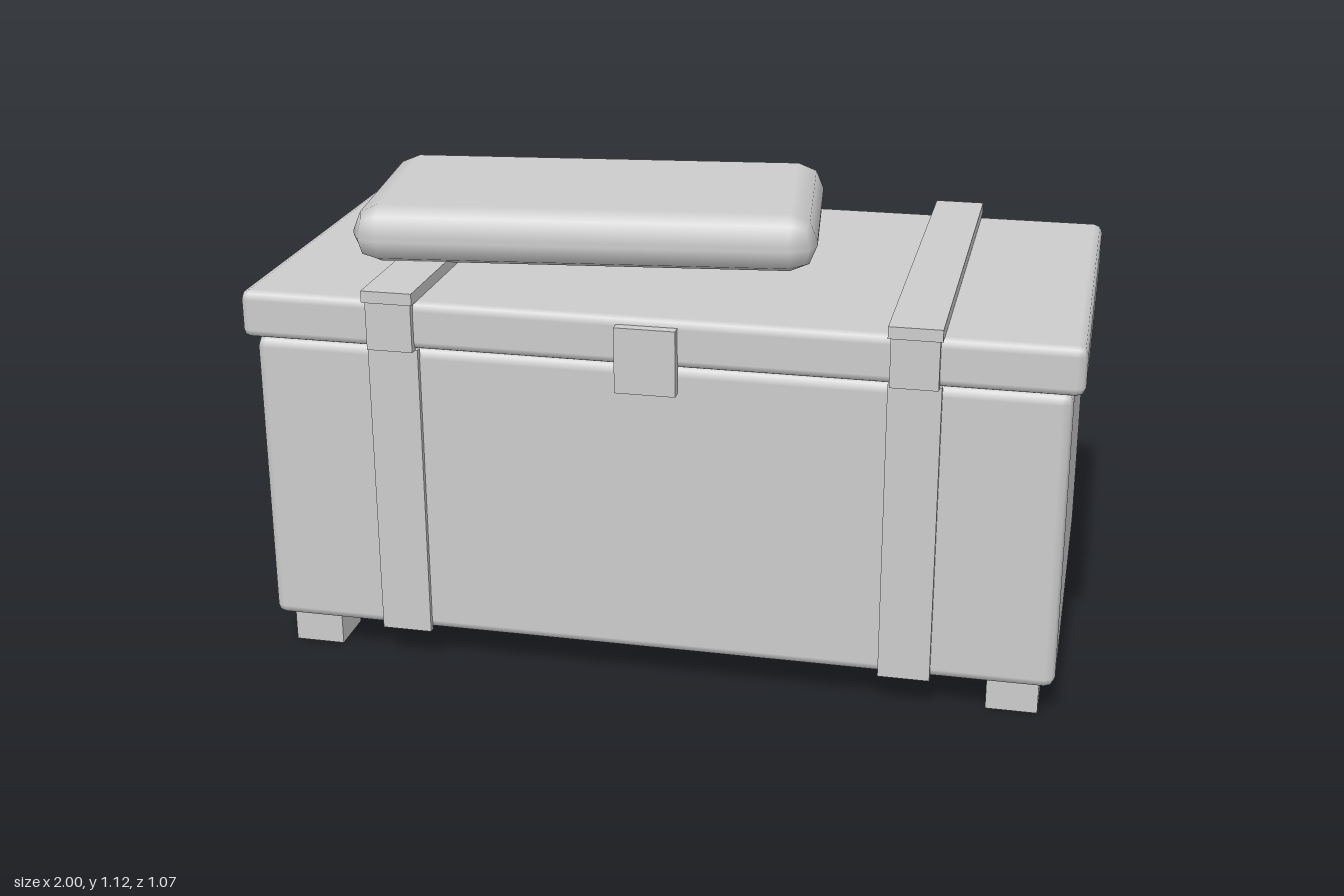
import * as THREE from 'three';
import { RoundedBoxGeometry } from 'three/addons/geometries/RoundedBoxGeometry.js';

export function createModel() {
  const group = new THREE.Group();
  group.name = 'storageChest';
  const grey = new THREE.MeshStandardMaterial({ color: 0xcccccc });
  grey.name = 'lightGrey';

  const add = (name, geometry, x, y, z) => {
    const mesh = new THREE.Mesh(geometry, grey);
    mesh.name = name;
    mesh.position.set(x, y, z);
    group.add(mesh);
    return mesh;
  };
  // Plain box given by its lower and upper limits in y and z
  const box = (name, x, width, y0, y1, z0, z1) =>
    add(name, new THREE.BoxGeometry(width, y1 - y0, z1 - z0), x, (y0 + y1) / 2, (z0 + z1) / 2);
  // Box with softened edges, centred in x and z
  const softBox = (name, width, y0, y1, depth, radius) =>
    add(name, new RoundedBoxGeometry(width, y1 - y0, depth, 1, radius), 0, (y0 + y1) / 2, 0);

  // Chest and lid
  softBox('chestBody', 1.95, 0.086, 0.828, 0.99, 0.025);
  softBox('lid', 2, 0.829, 0.948, 1.026, 0.022);

  for (const side of [-1, 1]) {
    const label = side > 0 ? 'left' : 'right';
    // Feet
    box(label + 'FrontFoot', side * 0.876, 0.124, 0, 0.087, 0.33, 0.454);
    box(label + 'BackFoot', side * 0.876, 0.124, 0, 0.087, -0.454, -0.33);
    // Strap in three pieces: body front, lid front, lid top
    box(label + 'BodyStrap', side * 0.62, 0.124, 0.086, 0.829, 0.492, 0.508);
    box(label + 'LidStrap', side * 0.62, 0.112, 0.829, 0.948, 0.505, 0.528);
    box(label + 'TopStrap', side * 0.62, 0.124, 0.948, 0.977, -0.535, 0.535);
  }

  // Latch plate
  box('latch', 0, 0.145, 0.77, 0.93, 0.507, 0.537);

  // Cushion lying slightly askew on the lid
  const cushion = softBox('cushion', 1.13, 0.977, 1.12, 0.614, 0.066);
  cushion.position.x = -0.249;
  cushion.position.z = -0.005;
  cushion.rotation.y = 0.122;

  return group;
}
